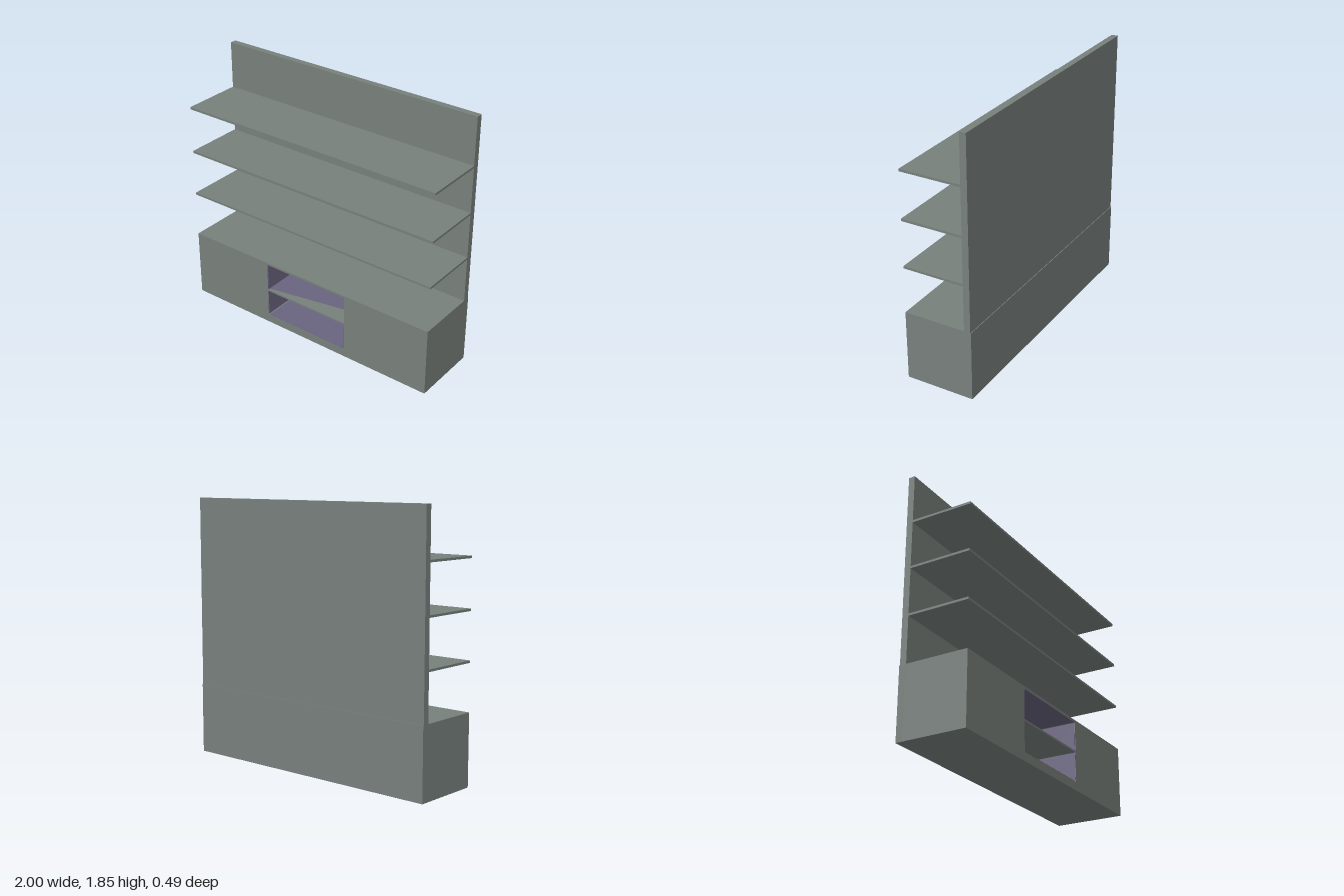
import * as THREE from 'three';

export function createModel() {
  const model = new THREE.Group();
  const mat = (name, color) => {
    const m = new THREE.MeshStandardMaterial({ color });
    m.name = name;
    return m;
  };
  const grey = mat('greyBoard', 0x78807c);
  const violet = mat('violetPanel', 0x4b2d7a);
  const mauve = mat('mauveLining', 0x6a6480);

  const add = (name, geometry, material) => {
    const mesh = new THREE.Mesh(geometry, material);
    mesh.name = name;
    model.add(mesh);
    return mesh;
  };
  // Box given by its minimum and maximum corners
  const box = (name, material, [x0, y0, z0], [x1, y1, z1]) => {
    const g = new THREE.BoxGeometry(x1 - x0, y1 - y0, z1 - z0);
    g.translate((x0 + x1) / 2, (y0 + y1) / 2, (z0 + z1) / 2);
    return add(name, g, material);
  };

  const L = -0.34, R = 0.335, B = 0.06, T = 0.485; // niche opening
  const front = 0.247, back = -0.2, r = 0.01;

  // Base cabinet: front block with a softly cornered opening
  const face = new THREE.Shape();
  face.moveTo(-1, 0).lineTo(1, 0).lineTo(1, 0.5).lineTo(-1, 0.5).closePath();
  const hole = new THREE.Path();
  hole.moveTo(L + r, B).lineTo(R - r, B).quadraticCurveTo(R, B, R, B + r);
  hole.lineTo(R, T - r).quadraticCurveTo(R, T, R - r, T);
  hole.lineTo(L + r, T).quadraticCurveTo(L, T, L, T - r);
  hole.lineTo(L, B + r).quadraticCurveTo(L, B, L + r, B);
  face.holes.push(hole);
  const cabinet = new THREE.ExtrudeGeometry(face, { depth: front - back, bevelEnabled: false, curveSegments: 4 });
  cabinet.translate(0, 0, back);
  add('baseCabinet', cabinet, grey);
  box('baseBack', grey, [-1, 0, -0.247], [1, 0.5, back]);

  // Niche lining
  const t = 0.004, zf = front - 0.003;
  box('nicheBack', violet, [L, B, back], [R, T, back + t]);
  box('nicheFloor', mauve, [L + r, B, back], [R - r, B + t, zf]);
  box('nicheCeiling', mauve, [L + r, T - t, back], [R - r, T, zf]);
  box('nicheLeftWall', mauve, [R - t, B + r, back], [R, T - r, zf]);
  box('nicheRightWall', mauve, [L, B + r, back], [L + t, T - r, zf]);

  // Niche shelf with a lining sheet that leaves a tapering bare strip in front
  const shelfTop = 0.278;
  box('nicheShelf', grey, [L, shelfTop - 0.012, back], [R, shelfTop, front]);
  const sheet = new THREE.Shape();
  sheet.moveTo(L, -front + 0.015).lineTo(R, -front + 0.15).lineTo(R, -back).lineTo(L, -back).closePath();
  const sheetGeo = new THREE.ExtrudeGeometry(sheet, { depth: 0.002, bevelEnabled: false });
  sheetGeo.rotateX(-Math.PI / 2);
  sheetGeo.translate(0, shelfTop, 0);
  add('nicheShelfLining', sheetGeo, mauve);

  // Tall back panel and display shelves
  box('backPanel', grey, [-1, 0.5, -0.242], [1, 1.85, -0.196]);
  [0.833, 1.168, 1.505].forEach((y, i) =>
    box('shelf' + (i + 1), grey, [-1, y - 0.008, -0.196], [1, y + 0.008, 0.244]));

  return model;
}
